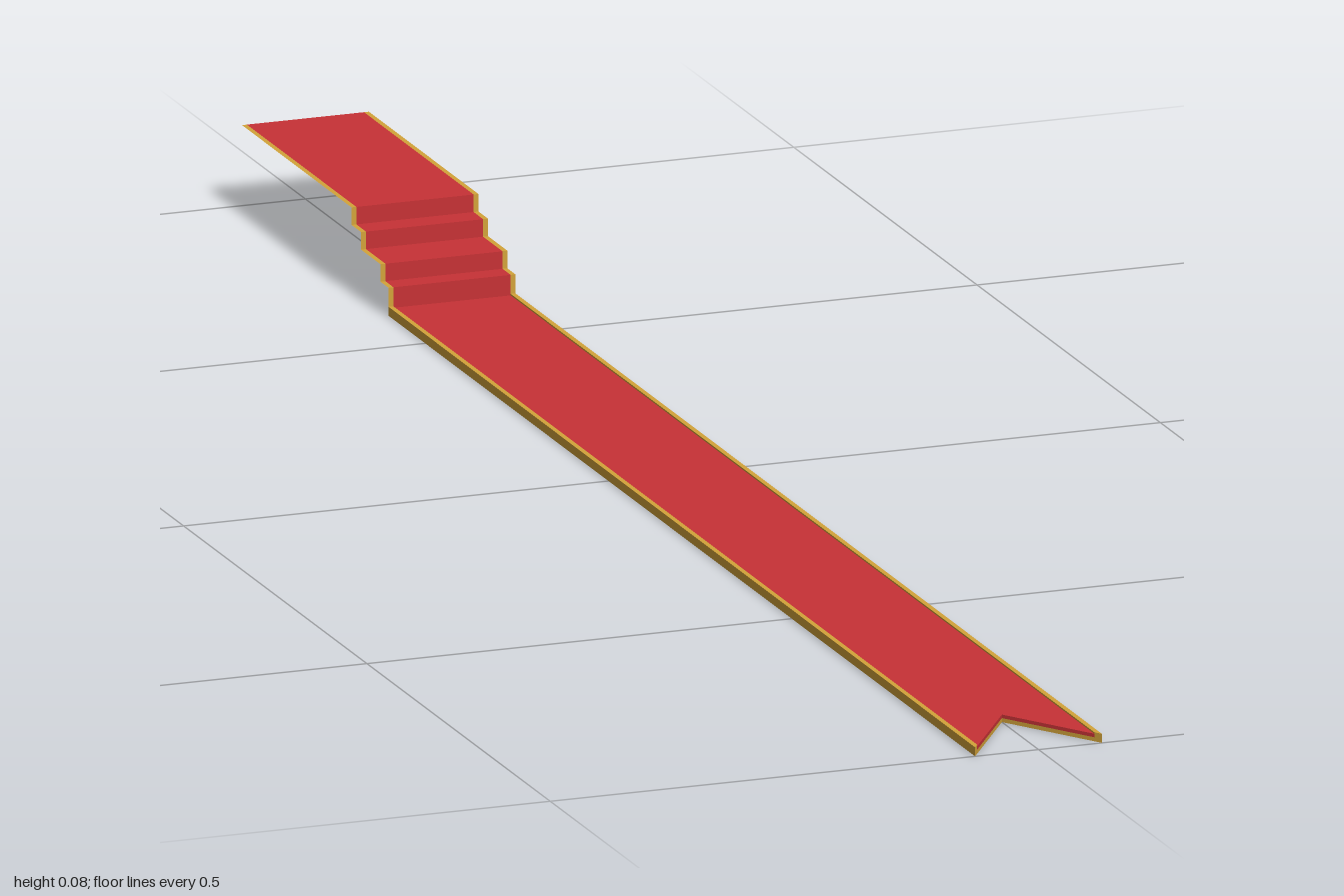
import * as THREE from 'three';

const HALF = 0.065, INNER = 0.06;      // half widths with and without the trim
const FRONT = 1, NOTCH = 0.1, FOOT = -0.6;

const red = new THREE.MeshStandardMaterial({ color: 0xc83236, side: THREE.DoubleSide });
const gold = new THREE.MeshStandardMaterial({ color: 0xd4a43a, side: THREE.DoubleSide });

// z of the swallowtail edge at a given x
const tailZ = x => FRONT - NOTCH * (1 - Math.abs(x) / HALF);

// Flat layer between two x values, with its front cut to the swallowtail
function layer(name, x0, x1, y0, y1, material) {
  const xs = x0 < 0 && x1 > 0 ? [x0, 0, x1] : [x0, x1];
  const pts = [[x0, FOOT], ...xs.map(x => [x, tailZ(x)]), [x1, FOOT]];
  const shape = new THREE.Shape(pts.map(([x, z]) => new THREE.Vector2(x, -z)));
  const geo = new THREE.ExtrudeGeometry(shape, { depth: y1 - y0, bevelEnabled: false });
  geo.rotateX(-Math.PI / 2).translate(0, y0, 0);
  const mesh = new THREE.Mesh(geo, material);
  mesh.name = name;
  return mesh;
}

// Thin cloth following a [z, y] profile, one flat panel per segment
function cloth(name, x0, x1, profile, material) {
  const pos = [];
  for (let i = 0; i < profile.length - 1; i++) {
    const [za, ya] = profile[i], [zb, yb] = profile[i + 1];
    pos.push(x0, ya, za, x1, ya, za, x1, yb, zb, x0, ya, za, x1, yb, zb, x0, yb, zb);
  }
  const geo = new THREE.BufferGeometry();
  geo.setAttribute('position', new THREE.Float32BufferAttribute(pos, 3));
  geo.computeVertexNormals();
  const mesh = new THREE.Mesh(geo, material);
  mesh.name = name;
  return mesh;
}

export function createModel() {
  const group = new THREE.Group();
  group.name = 'carpetRunner';

  // Long floor run: backing, pile and raised edge trim
  group.add(layer('backing', -HALF, HALF, 0, 0.004, gold));
  group.add(layer('floorCarpet', -INNER, INNER, 0.004, 0.0075, red));
  group.add(layer('floorTrimLeft', INNER, HALF, 0.004, 0.009, gold));
  group.add(layer('floorTrimRight', -HALF, -INNER, 0.004, 0.009, gold));

  // Steps, then the upper landing
  const profile = [[FOOT, 0.0075]];
  let y = 0.028;
  for (const [za, zb] of [[-0.6, -0.622], [-0.622, -0.675], [-0.675, -0.701], [-0.701, -1]]) {
    profile.push([za, y], [zb, y]);
    y += 0.0175;
  }
  group.add(cloth('stairCarpet', -INNER, INNER, profile, red));
  group.add(cloth('stairTrimLeft', INNER, HALF, profile, gold));
  group.add(cloth('stairTrimRight', -HALF, -INNER, profile, gold));
  return group;
}
